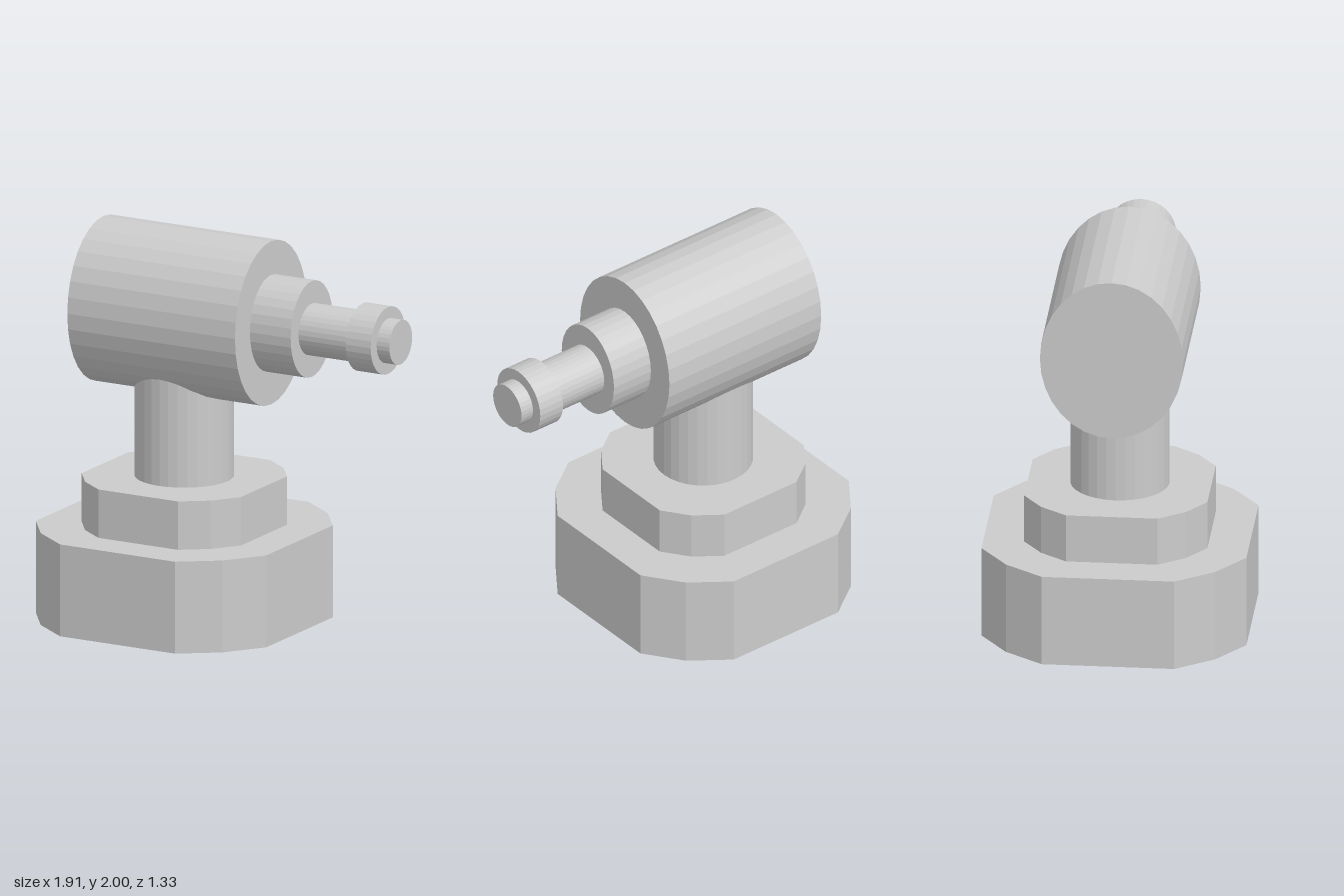
import * as THREE from 'three';

const material = new THREE.MeshStandardMaterial({ color: 0xcccccc, flatShading: true });
const POST_X = -0.295;
const AXIS_Y = 1.578;

function addPart(group, name, geometry, x, y) {
  const mesh = new THREE.Mesh(geometry, material);
  mesh.name = name;
  mesh.position.set(x, y, 0);
  group.add(mesh);
}

// Upright slab: a square with each corner cut by two facets
function slab(half, height) {
  const a = half * 0.5, b = half * 0.79;
  const corner = [[half, a], [b, b], [a, half]];
  const points = [];
  for (let i = 0; i < 4; i++) {
    for (const [x, y] of corner) {
      points.push(new THREE.Vector2(x, y).rotateAround(new THREE.Vector2(), i * Math.PI / 2));
    }
  }
  const geometry = new THREE.ExtrudeGeometry(new THREE.Shape(points), { depth: height, bevelEnabled: false });
  return geometry.rotateX(-Math.PI / 2);
}

// Horizontal cylinder along x with an elliptical section
function rod(x0, x1, ry, rz) {
  return new THREE.CylinderGeometry(1, 1, x1 - x0, 32).rotateZ(-Math.PI / 2).scale(1, ry, rz);
}

export function createModel() {
  const group = new THREE.Group();
  group.name = 'swivelHead';

  // Stepped base and post
  addPart(group, 'base', slab(0.664, 0.475), POST_X, 0);
  addPart(group, 'baseStep', slab(0.459, 0.25), POST_X, 0.475);
  addPart(group, 'post', new THREE.CylinderGeometry(0.249, 0.249, 0.8, 32), POST_X, 1.125);

  // Barrel and the stepped nozzle: name, start x, end x, vertical radius, depth radius
  const rods = [
    ['barrel', -0.762, 0.205, 0.422, 0.359],
    ['collar', 0.205, 0.44, 0.248, 0.21],
    ['neck', 0.44, 0.735, 0.132, 0.132],
    ['nozzleRing', 0.735, 0.88, 0.173, 0.173],
    ['nozzleTip', 0.88, 0.953, 0.114, 0.114],
  ];
  for (const [name, x0, x1, ry, rz] of rods) {
    addPart(group, name, rod(x0, x1, ry, rz), (x0 + x1) / 2, AXIS_Y);
  }
  return group;
}
